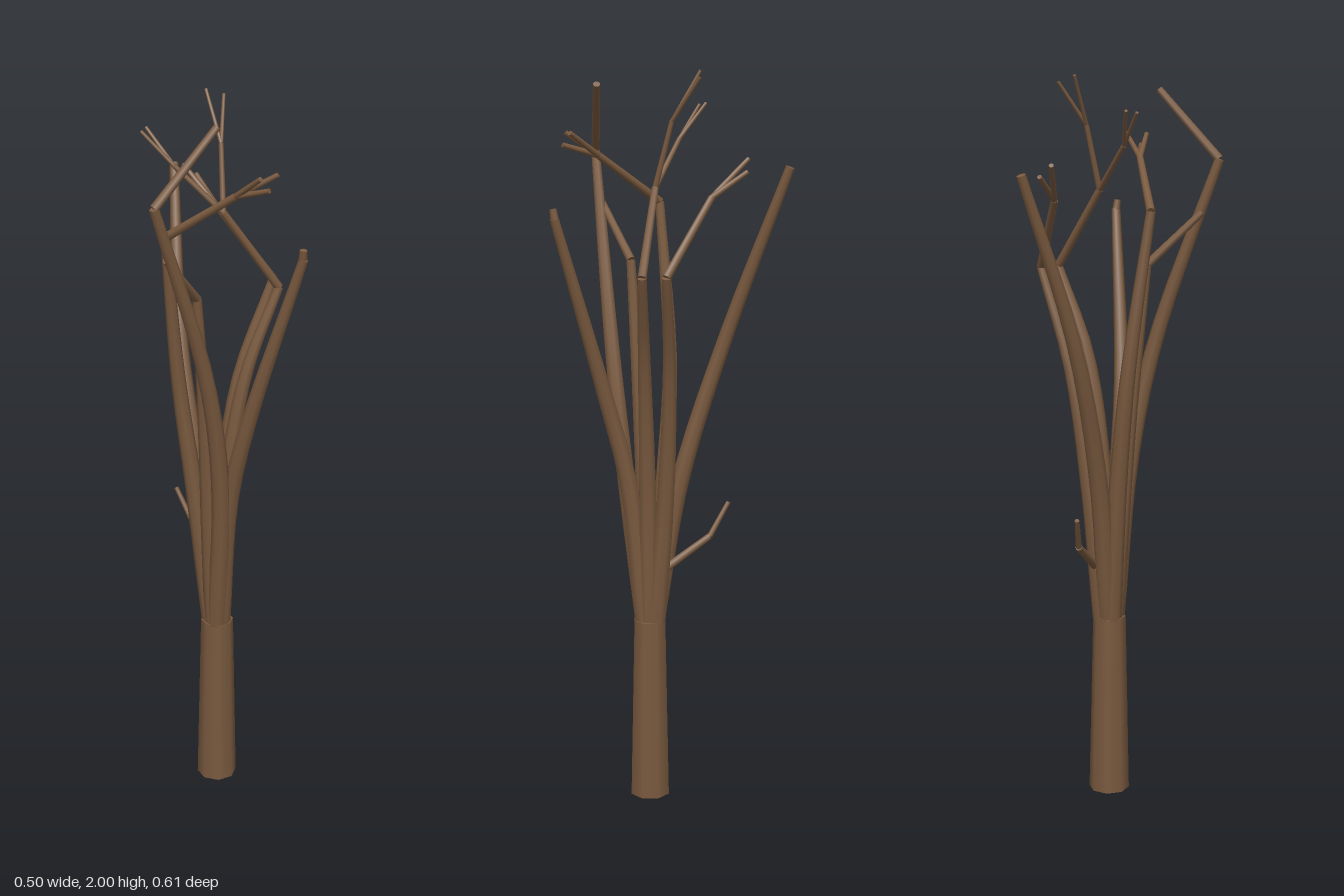
import * as THREE from 'three';
import { mergeGeometries } from 'three/addons/utils/BufferGeometryUtils.js';

const SIDES = 8;
const bark = new THREE.MeshStandardMaterial({ color: 0x7a5a3f });
const vec = (p) => new THREE.Vector3(...p);

// Flat disc closing the end of a limb
function endCap(center, direction, radius) {
  const cap = new THREE.CircleGeometry(radius, SIDES);
  cap.applyQuaternion(new THREE.Quaternion().setFromUnitVectors(new THREE.Vector3(0, 0, 1), direction));
  return cap.translate(center.x, center.y, center.z);
}

// Round limb swept along a curve, narrowing from r0 to r1, mostly towards its tip
function taperedLimb(name, points, r0, r1) {
  const pts = points.map(vec);
  const curve = pts.length > 2 ? new THREE.CatmullRomCurve3(pts) : new THREE.LineCurve3(...pts);
  const steps = pts.length > 2 ? 14 : 1;
  const tube = new THREE.TubeGeometry(curve, steps, 1, SIDES, false);
  const pos = tube.attributes.position;
  const v = new THREE.Vector3();
  for (let i = 0; i <= steps; i++) {
    const center = curve.getPointAt(i / steps);
    const radius = THREE.MathUtils.lerp(r0, r1, (i / steps) ** 1.5);
    for (let j = 0; j <= SIDES; j++) {
      const k = i * (SIDES + 1) + j;
      v.fromBufferAttribute(pos, k).sub(center).multiplyScalar(radius).add(center);
      pos.setXYZ(k, v.x, v.y, v.z);
    }
  }
  const geometry = mergeGeometries([
    tube,
    endCap(curve.getPointAt(0), curve.getTangentAt(0).negate(), r0),
    endCap(curve.getPointAt(1), curve.getTangentAt(1), r1),
  ]);
  const mesh = new THREE.Mesh(geometry, bark);
  mesh.name = name;
  return mesh;
}

// Main branches, from the trunk top to the tip
const branches = {
  backBranch: [[0.055, 0.51, 0.005], [0.07, 0.9, -0.06], [0.118, 1.3, -0.17], [0.235, 1.755, -0.293]],
  leftBranch: [[0.07, 0.51, 0.01], [0.105, 0.9, -0.005], [0.155, 1.22, 0.008], [0.24, 1.49, 0.055]],
  frontLeftBranch: [[0.06, 0.51, 0.025], [0.073, 0.95, 0.037], [0.115, 1.25, 0.063], [0.2, 1.487, 0.105]],
  frontBranch: [[0.05, 0.51, 0.035], [0.035, 0.9, 0.075], [0.03, 1.15, 0.14], [0.06, 1.63, 0.288]],
  rightBranch: [[0.038, 0.51, 0.03], [0, 0.95, 0.073], [-0.07, 1.29, 0.082], [-0.24, 1.78, 0.057]],
  backRightBranch: [[0.045, 0.51, 0.005], [0.02, 0.92, -0.038], [-0.01, 1.23, -0.066], [-0.068, 1.65, -0.06]],
  innerBranch: [[0.04, 0.51, 0.02], [0.02, 0.8, 0.02], [-0.005, 1.1, 0.025], [-0.05, 1.5, 0.032]],
};

// Twigs: a start, an end and the twigs that fork from that end
const twigs = [
  { name: 'leftTwig', from: [0.24, 1.49, 0.055], to: [0.18, 1.68, -0.097], forks: [
    { to: [0.172, 1.775, -0.205] }, { to: [0.205, 1.745, -0.187] }] },
  { name: 'frontLeftTwig', from: [0.2, 1.487, 0.105], to: [0.075, 1.7, 0.015], forks: [
    { to: [0, 1.82, -0.087], forks: [{ to: [-0.041, 1.905, -0.163] }, { to: [-0.014, 1.91, -0.17] }] },
    { to: [0.105, 1.87, -0.018], forks: [{ to: [0.127, 1.997, -0.088] }, { to: [0.172, 1.98, -0.065] }] }] },
  { name: 'backRightTwig', from: [-0.068, 1.65, -0.06], to: [-0.022, 1.78, 0.133], forks: [
    { to: [-0.032, 1.84, 0.22] }, { to: [-0.015, 1.81, 0.235] }, { to: [0.025, 1.842, 0.23] }] },
  { name: 'rightTwig', from: [-0.24, 1.78, 0.057], to: [-0.075, 1.96, 0.117] },
  { name: 'innerTwig', from: [-0.05, 1.5, 0.032], to: [-0.195, 1.64, 0.055] },
  { name: 'frontStub', from: [0.06, 1.62, 0.285], to: [0.056, 1.655, 0.29] },
  { name: 'lowTwig', from: [0.085, 0.66, 0], to: [0.118, 0.755, -0.13], forks: [{ to: [0.115, 0.845, -0.187] }] },
];

function addTwig(group, { name, from, to, forks = [] }, radius) {
  const tip = radius * 0.8;
  group.add(taperedLimb(name, [from, to], radius, tip));
  forks.forEach((f, i) => addTwig(group, { ...f, from: to, name: `${name}Fork${i + 1}` }, tip * 0.85));
}

export function createModel() {
  const tree = new THREE.Group();
  tree.name = 'bareTree';

  tree.add(taperedLimb('trunk', [[0.054, 0, 0.02], [0.052, 0.515, 0.02]], 0.057, 0.046));

  for (const [name, points] of Object.entries(branches)) {
    tree.add(taperedLimb(name, points, 0.028, 0.0125));
  }
  for (const twig of twigs) addTwig(tree, twig, 0.012);

  return tree;
}
